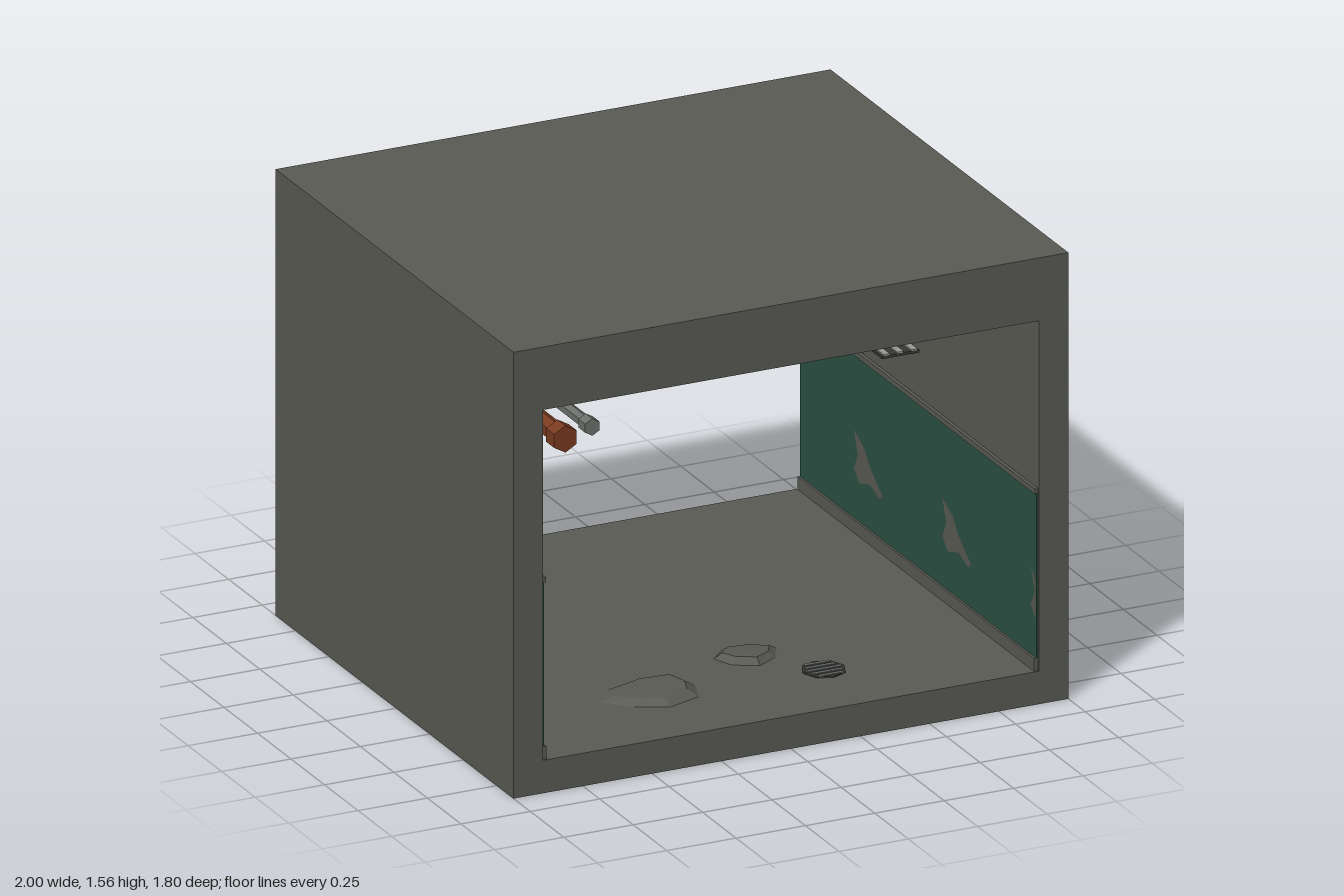
import * as THREE from 'three';

const mat = (name, color) => {
  const m = new THREE.MeshStandardMaterial({ color, flatShading: true });
  m.name = name;
  return m;
};

export function createModel() {
  const root = new THREE.Group();
  root.name = 'tunnelSection';
  const concrete = mat('concrete', 0x5a5b54);
  const green = mat('greenPaint', 0x2c5044);
  const rust = mat('rust', 0x7a3b20);
  const steel = mat('steel', 0x6c706c);
  const glass = mat('lampGlass', 0xb4c6c0);
  const dark = mat('darkMetal', 0x363835);
  const pale = mat('palePaint', 0x9a9b94);

  const add = (name, geo, material, x, y, z, parent = root) => {
    const m = new THREE.Mesh(geo, material);
    m.name = name;
    m.position.set(x, y, z);
    parent.add(m);
    return m;
  };
  const box = (name, material, w, h, d, x, y, z, parent) =>
    add(name, new THREE.BoxGeometry(w, h, d), material, x, y, z, parent);
  const rect = (S, x0, y0, x1, y1) => {
    const s = new S();
    s.moveTo(x0, y0).lineTo(x1, y0).lineTo(x1, y1).lineTo(x0, y1).closePath();
    return s;
  };

  // Concrete shell, open at both ends
  const z0 = -0.9, z1 = 0.875, len = z1 - z0, mid = (z0 + z1) / 2;
  const ring = rect(THREE.Shape, -1, 0, 1, 1.56);
  ring.holes.push(rect(THREE.Path, -0.893, 0.115, 0.893, 1.34));
  add('shell', new THREE.ExtrudeGeometry(ring, { depth: len, bevelEnabled: false }), concrete, 0, 0, z0);

  // Wall dressing: green paint, skirting, trim and chipped patches
  const patch = [[-0.09, 0.1], [-0.01, 0.06], [0.03, 0.01], [0.125, -0.06],
    [0.1, -0.075], [0.03, -0.05], [-0.05, -0.075], [-0.09, -0.035], [-0.06, 0.02]];
  for (const side of [-1, 1]) {
    const wall = new THREE.Group();
    wall.name = side < 0 ? 'rightWall' : 'leftWall';
    const zc = -side * mid;
    box('paintBand', green, 0.006, 0.58, len - 0.01, -0.89, 0.45, zc, wall);
    box('skirting', concrete, 0.014, 0.045, len - 0.01, -0.886, 0.1375, zc, wall);
    box('trim', concrete, 0.012, 0.018, len - 0.01, -0.887, 0.743, zc, wall);
    for (const pz of [0.4, -0.26, -0.92]) {
      const s = new THREE.Shape(patch.map(([d, y]) =>
        new THREE.Vector2(Math.min(d - pz, 0.865), y + 0.37)));
      const g = new THREE.ShapeGeometry(s);
      g.rotateY(Math.PI / 2);
      add('chippedPatch', g, concrete, -0.886, 0, 0, wall);
    }
    if (side > 0) wall.rotation.y = Math.PI;
    root.add(wall);
  }

  // Worn paint marks high on the left wall
  for (const [z, y, h, d] of [[-0.59, 0.965, 0.1, 0.02], [-0.56, 0.985, 0.02, 0.04],
    [-0.5, 0.965, 0.09, 0.02], [-0.475, 1.0, 0.02, 0.04], [-0.475, 0.935, 0.02, 0.04]])
    box('paintMark', pale, 0.006, h, d, 0.89, y, z);

  // Pipes with collars
  const tube = (name, material, r, l, x, y, z) => {
    const g = new THREE.CylinderGeometry(r, r, l, 6);
    g.rotateX(Math.PI / 2);
    add(name, g, material, x, y, z);
  };
  tube('largePipe', rust, 0.034, 1.76, -0.825, 1.235, 0.005);
  tube('smallPipe', steel, 0.022, 1.76, -0.728, 1.26, 0.005);
  for (const z of [-0.865, -0.3, 0.3, 0.87]) {
    tube('largeCollar', rust, 0.047, 0.06, -0.825, 1.235, z);
    tube('smallCollar', steel, 0.03, 0.05, -0.728, 1.26, z + 0.005);
  }

  // Switch box with its cable
  box('cable', dark, 0.007, 0.67, 0.007, -0.877, 0.955, 0.25);
  box('switchBox', rust, 0.012, 0.1, 0.15, -0.88, 0.565, 0.25);

  // Ceiling lamp
  const pill = (w, d, h) => {
    const a = w / 2, b = d / 2, c = 0.02;
    const s = new THREE.Shape([[-a + c, -b], [a - c, -b], [a, -b + c], [a, b - c],
      [a - c, b], [-a + c, b], [-a, b - c], [-a, -b + c]].map(p => new THREE.Vector2(...p)));
    const g = new THREE.ExtrudeGeometry(s, { depth: h, bevelEnabled: false });
    return g.rotateX(Math.PI / 2);
  };
  add('lampHousing', pill(0.555, 0.16, 0.036), steel, 0, 1.34, -0.2);
  add('lampGlass', pill(0.51, 0.11, 0.01), glass, 0, 1.305, -0.2);

  // Cable tray hung from the ceiling
  box('trayPlate', dark, 0.135, 0.01, len - 0.02, 0.4, 1.305, mid);
  for (const x of [0.35, 0.4, 0.45])
    box('trayCable', pale, 0.022, 0.005, len - 0.02, x, 1.3125, mid);
  for (const z of [-0.6, 0, 0.6])
    box('trayHanger', steel, 0.008, 0.03, 0.02, 0.4, 1.325, z);

  // Low rubble on the floor: squashed discs with uneven rims
  const mound = (name, material, x, z, rx, rz, h, sides, turn) => {
    const g = new THREE.CylinderGeometry(0.75, 1, h, sides);
    const p = g.attributes.position;
    for (let i = 0; i < p.count; i++) {
      const a = Math.atan2(p.getX(i), p.getZ(i));
      const k = 1 + 0.1 * Math.sin(3 * a + turn);
      const lift = p.getY(i) > 0 ? 0.25 * h * Math.sin(a + turn) : 0;
      p.setXYZ(i, p.getX(i) * k * rx, p.getY(i) + lift, p.getZ(i) * k * rz);
    }
    add(name, g, material, x, 0.115 + h / 2, z);
  };
  mound('largeRubble', concrete, -0.32, 0.5, 0.17, 0.13, 0.02, 8, 0.5);
  mound('smallRubble', concrete, 0.1, 0.34, 0.11, 0.09, 0.018, 7, 2);

  // Floor drain
  add('drainRim', new THREE.CylinderGeometry(0.075, 0.075, 0.004, 8), dark, 0.27, 0.117, 0.56);
  for (let i = -2; i <= 2; i++)
    box('drainBar', steel, 0.13 - 0.02 * Math.abs(i), 0.004, 0.014, 0.27, 0.12, 0.56 + i * 0.026);

  return root;
}
